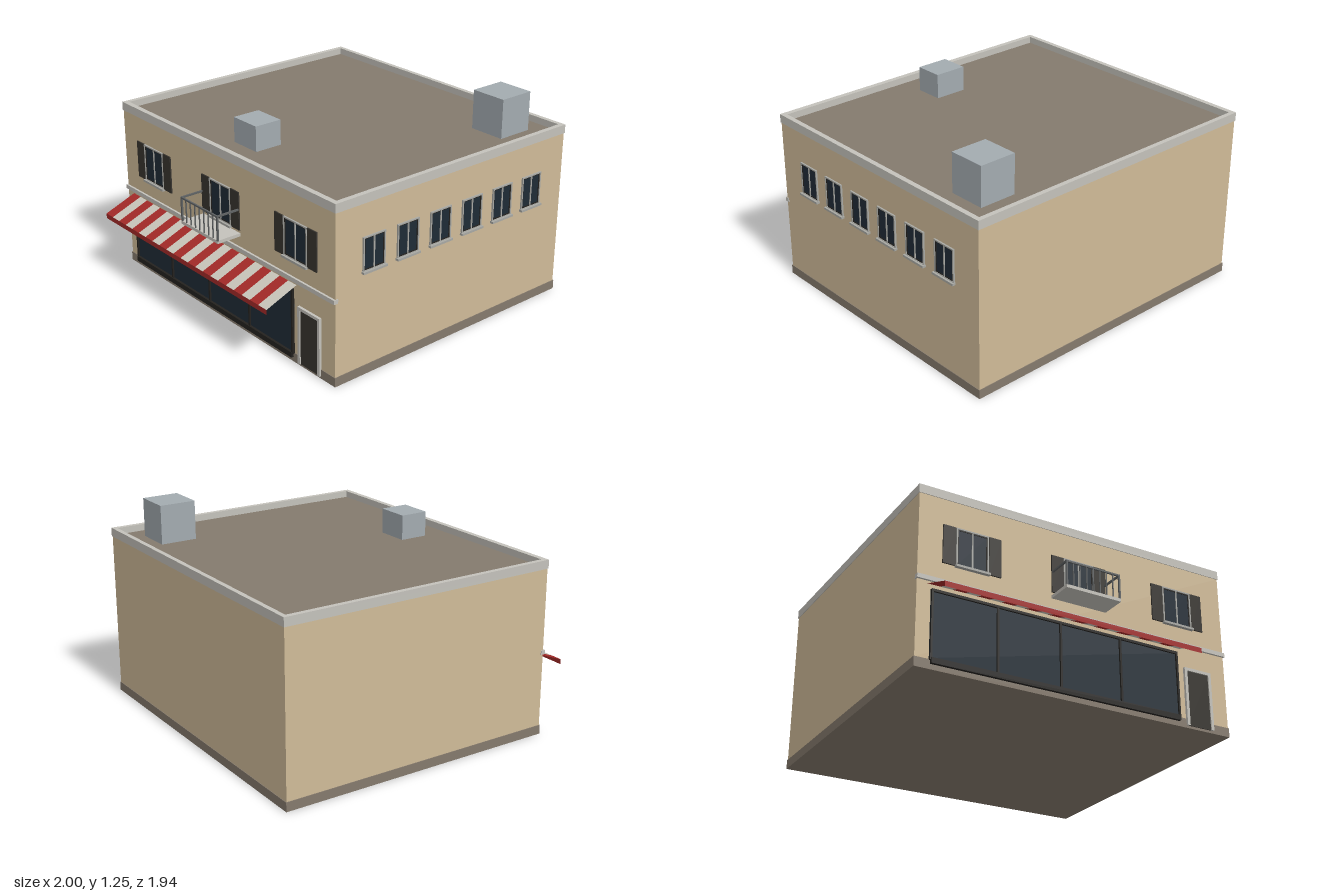
import * as THREE from 'three';

const material = (color, side = THREE.FrontSide) => new THREE.MeshStandardMaterial({ color, side });
const M = {
  wall: material(0xd0bb98), plinth: material(0x857a6d), trim: material(0xc4c2bb), roof: material(0x847a6e),
  metal: material(0xa3abb0), frame: material(0xa9a9a4), glass: material(0x1f2b36), dark: material(0x24221f),
  shutter: material(0x37342f), rail: material(0x5f6263),
  red: material(0xa32a28, THREE.DoubleSide), white: material(0xc9c5bb, THREE.DoubleSide),
};

// Box given by its minimum and maximum corners
function box(parent, name, mat, [x0, y0, z0], [x1, y1, z1]) {
  const mesh = new THREE.Mesh(new THREE.BoxGeometry(x1 - x0, y1 - y0, z1 - z0), mat);
  mesh.position.set((x0 + x1) / 2, (y0 + y1) / 2, (z0 + z1) / 2);
  mesh.name = name;
  parent.add(mesh);
  return mesh;
}

// Rectangular border facing +z
function border(parent, name, mat, x0, x1, y0, y1, t, z0, z1) {
  box(parent, name, mat, [x0, y0, z0], [x0 + t, y1, z1]);
  box(parent, name, mat, [x1 - t, y0, z0], [x1, y1, z1]);
  box(parent, name, mat, [x0 + t, y0, z0], [x1 - t, y0 + t, z1]);
  box(parent, name, mat, [x0 + t, y1 - t, z0], [x1 - t, y1, z1]);
}

// Two-pane window facing +z, centred on x with its foot at y = 0 and the wall at z = 0
function makeWindow(name, w, h, shutters) {
  const g = new THREE.Group();
  g.name = name;
  const r = w / 2;
  box(g, 'windowPanes', M.glass, [-r + 0.005, 0.005, -0.01], [r - 0.005, h - 0.005, 0.003]);
  border(g, 'windowFrame', M.frame, -r, r, 0, h, 0.008, -0.01, 0.01);
  border(g, 'windowSash', M.dark, -r + 0.008, r - 0.008, 0.008, h - 0.008, 0.006, -0.01, 0.006);
  box(g, 'windowMullion', M.frame, [-0.004, 0.008, -0.01], [0.004, h - 0.008, 0.008]);
  box(g, 'windowSill', M.frame, [-r - 0.006, -0.008, -0.01], [r + 0.006, 0.005, 0.022]);
  if (shutters) {
    for (const s of [-1, 1]) {
      const panel = box(g, 'shutter', M.shutter, [-0.038, 0, -0.01], [0.038, h, 0.008]);
      panel.position.x = s * (r + 0.04);
    }
  }
  return g;
}

export function createModel() {
  const model = new THREE.Group();
  model.name = 'shopBuilding';

  // Main block, plinth and roof
  box(model, 'plinth', M.plinth, [-1, 0, -0.97], [0.98, 0.055, 0.77]);
  box(model, 'walls', M.wall, [-0.996, 0.055, -0.966], [0.976, 1.01, 0.766]);
  box(model, 'roof', M.roof, [-0.98, 1.005, -0.95], [0.96, 1.02, 0.75]);

  // Parapet as a rectangle with a hole
  const rect = (Type, x0, y0, x1, y1) => new Type([[x0, y0], [x1, y0], [x1, y1], [x0, y1]].map(p => new THREE.Vector2(...p)));
  const outline = rect(THREE.Shape, -1, -0.77, 0.98, 0.97);
  outline.holes.push(rect(THREE.Path, -0.97, -0.738, 0.95, 0.942));
  const parapet = new THREE.Mesh(new THREE.ExtrudeGeometry(outline, { depth: 0.052, bevelEnabled: false }), M.trim);
  parapet.name = 'parapet';
  parapet.rotation.x = -Math.PI / 2;
  parapet.position.y = 1.008;
  model.add(parapet);

  // Roof units
  box(model, 'smallRoofUnit', M.metal, [-0.11, 1.01, 0.415], [0.092, 1.17, 0.588]);
  box(model, 'largeRoofUnit', M.metal, [0.602, 1.01, -0.82], [0.83, 1.255, -0.595]);

  // Band between the storeys
  box(model, 'storeyBand', M.trim, [-1, 0.495, 0.75], [0.98, 0.52, 0.779]);

  // Upper windows on the front
  for (const x of [-0.678, -0.01, 0.658]) {
    const win = makeWindow('frontWindow', 0.195, 0.23, true);
    win.position.set(x, 0.622, 0.766);
    model.add(win);
  }

  // Row of windows on the side wall
  for (let i = 0; i < 6; i++) {
    const win = makeWindow('sideWindow', 0.155, 0.2, false);
    win.position.set(0.976, 0.62, 0.506 - i * 0.2415);
    win.rotation.y = Math.PI / 2;
    model.add(win);
  }

  // Balcony with railing
  const balcony = new THREE.Group();
  balcony.name = 'balcony';
  model.add(balcony);
  const [bl, br, bz] = [-0.185, 0.165, 0.92];
  box(balcony, 'balconySlab', M.trim, [bl, 0.585, 0.76], [br, 0.604, bz]);
  box(balcony, 'frontRail', M.rail, [bl, 0.742, bz - 0.01], [br, 0.752, bz]);
  for (const x of [bl, br - 0.01]) {
    box(balcony, 'sideRail', M.rail, [x, 0.742, 0.76], [x + 0.01, 0.752, bz - 0.01]);
    box(balcony, 'cornerPost', M.rail, [x, 0.6, bz - 0.01], [x + 0.01, 0.742, bz]);
  }
  for (let i = 1; i < 8; i++) {
    const x = bl + 0.005 + (i * (br - bl - 0.01)) / 8;
    box(balcony, 'baluster', M.rail, [x - 0.003, 0.6, bz - 0.008], [x + 0.003, 0.745, bz - 0.002]);
  }

  // Shop front: four large panes in a dark frame
  const shop = new THREE.Group();
  shop.name = 'shopFront';
  model.add(shop);
  const [sl, sr] = [-0.915, 0.638];
  box(shop, 'shopGlass', M.glass, [sl, 0.06, 0.75], [sr, 0.445, 0.772]);
  box(shop, 'shopBase', M.dark, [sl + 0.005, 0.03, 0.75], [sr - 0.005, 0.062, 0.787]);
  box(shop, 'shopHeader', M.dark, [sl, 0.435, 0.75], [sr, 0.45, 0.782]);
  for (let i = 0; i <= 4; i++) {
    const x = sl + 0.006 + (i * (sr - sl - 0.012)) / 4;
    box(shop, 'shopPost', M.dark, [x - 0.006, 0.05, 0.75], [x + 0.006, 0.45, 0.782]);
  }

  // Striped awning with a valance
  const awning = new THREE.Group();
  awning.name = 'awning';
  model.add(awning);
  const [al, ar, count] = [-0.935, 0.66, 22];
  const drop = 0.078, reach = 0.203, step = (ar - al) / count;
  for (let i = 0; i < count; i++) {
    const stripe = new THREE.Mesh(new THREE.PlaneGeometry(step, Math.hypot(drop, reach)), i % 2 ? M.white : M.red);
    stripe.name = 'awningStripe';
    stripe.rotation.x = -Math.atan2(reach, drop);
    stripe.position.set(al + (i + 0.5) * step, 0.401 + drop / 2, 0.97 - reach / 2);
    awning.add(stripe);
  }
  const valance = new THREE.Mesh(new THREE.PlaneGeometry(ar - al, 0.031), M.red);
  valance.name = 'awningValance';
  valance.position.set((al + ar) / 2, 0.3855, 0.97);
  awning.add(valance);

  // Entrance door
  const door = new THREE.Group();
  door.name = 'entranceDoor';
  model.add(door);
  box(door, 'doorLeaf', M.shutter, [0.69, 0.015, 0.75], [0.855, 0.355, 0.775]);
  for (const x of [0.682, 0.847]) box(door, 'doorJamb', M.trim, [x, 0.015, 0.75], [x + 0.018, 0.365, 0.782]);
  box(door, 'doorLintel', M.trim, [0.7, 0.348, 0.75], [0.847, 0.365, 0.782]);

  return model;
}
